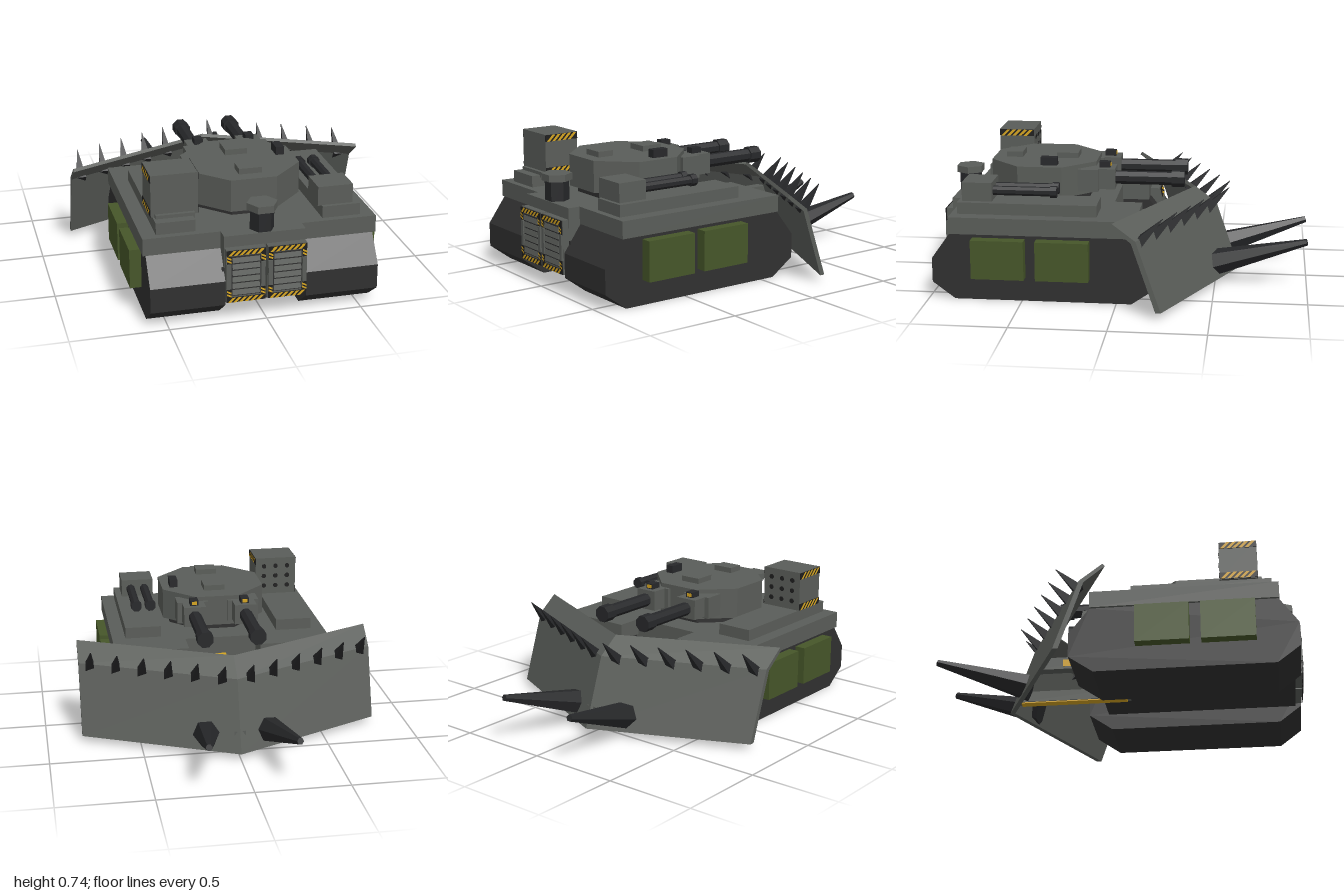
import * as THREE from 'three';

const mat = (name, color) => {
  const m = new THREE.MeshStandardMaterial({ color });
  m.name = name;
  return m;
};

export function createModel() {
  const grey = mat('armour grey', 0x5a5d59);
  const track = mat('track charcoal', 0x303030);
  const gun = mat('gunmetal', 0x27282a);
  const black = mat('hazard black', 0x1e1e1e);
  const green = mat('olive green', 0x465629);
  const yellow = mat('hazard yellow', 0xd6a520);
  const model = new THREE.Group();
  model.name = 'plowTank';

  // Faceted mesh
  const add = (name, geo, m, parent = model) => {
    const g = geo.index ? geo.toNonIndexed() : geo;
    g.computeVertexNormals();
    const mesh = new THREE.Mesh(g, m);
    mesh.name = name;
    parent.add(mesh);
    return mesh;
  };
  // Box given by its min and max on each axis
  const box = (name, x0, x1, y0, y1, z0, z1, m, parent) => {
    const g = new THREE.BoxGeometry(x1 - x0, y1 - y0, z1 - z0);
    g.translate((x0 + x1) / 2, (y0 + y1) / 2, (z0 + z1) / 2);
    return add(name, g, m, parent);
  };
  // Tapered rod between two points
  const rod = (name, a, b, r0, r1, sides, m) => {
    const p = new THREE.Vector3(...a), q = new THREE.Vector3(...b);
    const dir = q.clone().sub(p);
    const g = new THREE.CylinderGeometry(r1, r0, dir.length(), sides);
    g.rotateY(Math.PI / sides);
    const mesh = add(name, g, m);
    mesh.position.copy(p).add(q).multiplyScalar(0.5);
    mesh.quaternion.setFromUnitVectors(new THREE.Vector3(0, 1, 0), dir.normalize());
    return mesh;
  };
  // Side profile of [z, y] points swept across x
  const sweepX = (profile, x0, x1, steps = 1) => {
    const shape = new THREE.Shape(profile.map(([z, y]) => new THREE.Vector2(z, y)));
    const g = new THREE.ExtrudeGeometry(shape, { depth: x1 - x0, steps, bevelEnabled: false });
    g.rotateY(-Math.PI / 2);
    g.translate(x1, 0, 0);
    return g;
  };
  // Thin striped plate facing +z, centred on its own origin
  const hazard = (w, h, n, pos, rot = [0, 0, 0], parent = model) => {
    const grp = new THREE.Group();
    grp.name = 'hazardStrip';
    add('hazardBase', new THREE.BoxGeometry(w, h, 0.004), black, grp);
    const lean = Math.min(h, w / 4), pitch = (w - lean) / n;
    for (let i = 0; i < n; i++) {
      const x = -w / 2 + i * pitch + pitch * 0.2;
      const s = new THREE.Shape([
        new THREE.Vector2(x, -h / 2), new THREE.Vector2(x + pitch * 0.6, -h / 2),
        new THREE.Vector2(x + pitch * 0.6 + lean, h / 2), new THREE.Vector2(x + lean, h / 2)]);
      add('hazardStripe', new THREE.ShapeGeometry(s), yellow, grp).position.z = 0.004;
    }
    grp.position.set(...pos);
    grp.rotation.set(...rot);
    parent.add(grp);
  };

  // Hull
  box('lowerHull', -0.22, 0.22, 0.09, 0.28, -0.1, 0.95, track);
  box('centreDeck', -0.21, 0.21, 0.28, 0.45, 0.05, 0.95, grey);

  const trackProfile = [[0.86, 0], [0.98, 0.09], [0.98, 0.22], [0.88, 0.36],
    [-0.1, 0.36], [-0.21, 0.22], [-0.21, 0.09], [-0.08, 0]];
  for (const s of [-1, 1]) {
    const span = (a, b) => (s > 0 ? [a, b] : [-b, -a]);
    add('trackPod', sweepX(trackProfile, ...span(0.21, 0.59)), track);
    box('sponsonDeck', ...span(0.2, 0.605), 0.36, 0.45, -0.1, 0.885, grey);
    box('deckPlinth', ...span(0.33, 0.53), 0.45, 0.512, 0.11, 0.85, grey);
    for (const z of [0.14, 0.48]) box('sidePanel', ...span(0.585, 0.65), 0.13, 0.34, z, z + 0.28, green);

    // Hazard-marked block on the nose of each track
    add('noseBlock', sweepX([[-0.09, 0.4], [-0.09, 0.28], [-0.175, 0.28], [-0.15, 0.4]].reverse(),
      ...span(0.31, 0.49)), grey);
    hazard(0.13, 0.05, 4, [s * 0.4, 0.37, -0.161], [0.2, Math.PI, 0]);

    // Louvred engine door
    const [dx0, dx1] = span(0.006, 0.208), cx = (dx0 + dx1) / 2;
    box('engineDoor', dx0, dx1, 0.105, 0.39, 0.94, 0.985, grey);
    box('grilleBack', cx - 0.075, cx + 0.075, 0.14, 0.355, 0.98, 0.988, track);
    for (let i = 0; i < 6; i++) {
      const slat = add('louvre', new THREE.BoxGeometry(0.14, 0.026, 0.008), grey);
      slat.position.set(cx, 0.16 + i * 0.035, 0.99);
      slat.rotation.x = -0.25;
    }
    for (const y of [0.12, 0.375]) hazard(0.2, 0.026, 6, [cx, y, 0.991]);
    for (const e of [-1, 1]) {
      for (const y of [0.155, 0.34]) hazard(0.045, 0.022, 2, [cx + e * 0.088, y, 0.991], [0, 0, Math.PI / 2]);
      box('doorPost', cx + e * 0.088 - 0.011, cx + e * 0.088 + 0.011, 0.18, 0.315, 0.98, 0.995, grey);
    }
  }

  // Exhaust stack
  rod('exhaustPipe', [0, 0.4, 0.89], [0, 0.56, 0.89], 0.063, 0.063, 6, gun);
  rod('exhaustCap', [0, 0.555, 0.89], [0, 0.592, 0.89], 0.08, 0.08, 6, grey);

  // Turret
  const octR = 0.29 / Math.cos(Math.PI / 8);
  rod('turretRing', [0, 0.44, 0.45], [0, 0.49, 0.45], 0.27, 0.27, 8, track);
  rod('turret', [0, 0.485, 0.45], [0, 0.655, 0.45], octR, octR, 8, grey);
  box('frontHatch', -0.06, 0.06, 0.65, 0.685, 0.27, 0.39, grey);
  box('rearHatch', -0.06, 0.06, 0.65, 0.685, 0.58, 0.67, grey);
  box('periscope', 0.2, 0.245, 0.65, 0.698, 0.36, 0.45, gun);
  for (const s of [-1, 1]) {
    const x = s * 0.143;
    box('mantletRear', x - 0.088, x + 0.088, 0.51, 0.632, 0.14, 0.25, grey);
    box('mantlet', x - 0.062, x + 0.062, 0.52, 0.632, 0.05, 0.16, grey);
    box('gunSight', x - 0.023, x + 0.023, 0.63, 0.662, 0.08, 0.14, gun);
    box('sightLens', x - 0.014, x + 0.014, 0.638, 0.656, 0.076, 0.081, yellow);
    rod('mainBarrel', [x, 0.575, 0.06], [x, 0.575, -0.31], 0.037, 0.037, 8, gun);
    rod('muzzle', [x, 0.575, -0.255], [x, 0.575, -0.325], 0.046, 0.046, 8, gun);
  }

  // Secondary twin gun
  box('twinGunHousing', 0.31, 0.495, 0.51, 0.612, 0.67, 0.83, grey);
  for (const x of [0.362, 0.443]) {
    rod('twinBarrel', [x, 0.56, 0.68], [x, 0.56, 0.34], 0.025, 0.025, 8, gun);
    rod('twinMuzzle', [x, 0.56, 0.365], [x, 0.56, 0.33], 0.032, 0.032, 8, gun);
  }

  // Rocket launcher
  box('launcherBase', -0.52, -0.32, 0.5, 0.53, 0.6, 0.8, grey);
  box('rocketLauncher', -0.54, -0.3, 0.515, 0.735, 0.58, 0.78, grey);
  for (let i = 0; i < 9; i++) {
    const x = -0.42 + ((i % 3) - 1) * 0.07, y = 0.625 + (Math.floor(i / 3) - 1) * 0.06;
    rod('rocketTube', [x, y, 0.59], [x, y, 0.576], 0.014, 0.014, 8, black);
  }
  for (const y of [0.535, 0.715]) {
    hazard(0.2, 0.036, 5, [-0.299, y, 0.68], [0, Math.PI / 2, 0]);
    hazard(0.2, 0.036, 5, [-0.541, y, 0.68], [0, -Math.PI / 2, 0]);
  }

  // Plow arms with painted flanks
  box('plowArmUpper', -0.03, 0.03, 0.28, 0.35, -0.5, 0.06, grey);
  box('plowArmLower', -0.03, 0.03, 0.09, 0.15, -0.58, 0.05, grey);
  box('armUnderPaint', -0.025, 0.025, 0.084, 0.091, -0.56, 0.03, yellow);
  for (const s of [-1, 1]) {
    const g = box('armSidePaint', -0.003, 0.003, 0.295, 0.335, -0.33, 0.04, yellow);
    g.position.x = s * 0.03;
  }
  for (const z of [-0.19, 0.03]) box('armTopPaint', -0.029, 0.029, 0.346, 0.354, z - 0.02, z + 0.02, yellow);

  // V-shaped plow blade, folded back along its top
  const blade = sweepX([[0, 0.5], [-0.12, 0.41], [-0.25, 0.035],
    [-0.222, 0.035], [-0.097, 0.4], [0.012, 0.485]], -0.81, 0.81, 2);
  const p = blade.attributes.position;
  const sweep = (x) => -0.375 + 0.46 * Math.abs(x);
  for (let i = 0; i < p.count; i++) p.setZ(i, p.getZ(i) + sweep(p.getX(i)));
  add('plowBlade', blade, grey);

  // Blade teeth and ramming spikes
  for (const s of [-1, 1]) {
    for (let i = 0; i < 6; i++) {
      const x = 0.075 + i * 0.135, z = sweep(x);
      rod('bladeTooth', [s * x, 0.385, z - 0.1], [s * x, 0.515, z - 0.225], 0.036, 0.002, 4, gun);
    }
    rod('rammingSpike', [s * 0.165, 0.11, -0.48], [s * 0.23, 0.262, -0.995], 0.075, 0.018, 6, gun);
  }
  return model;
}
